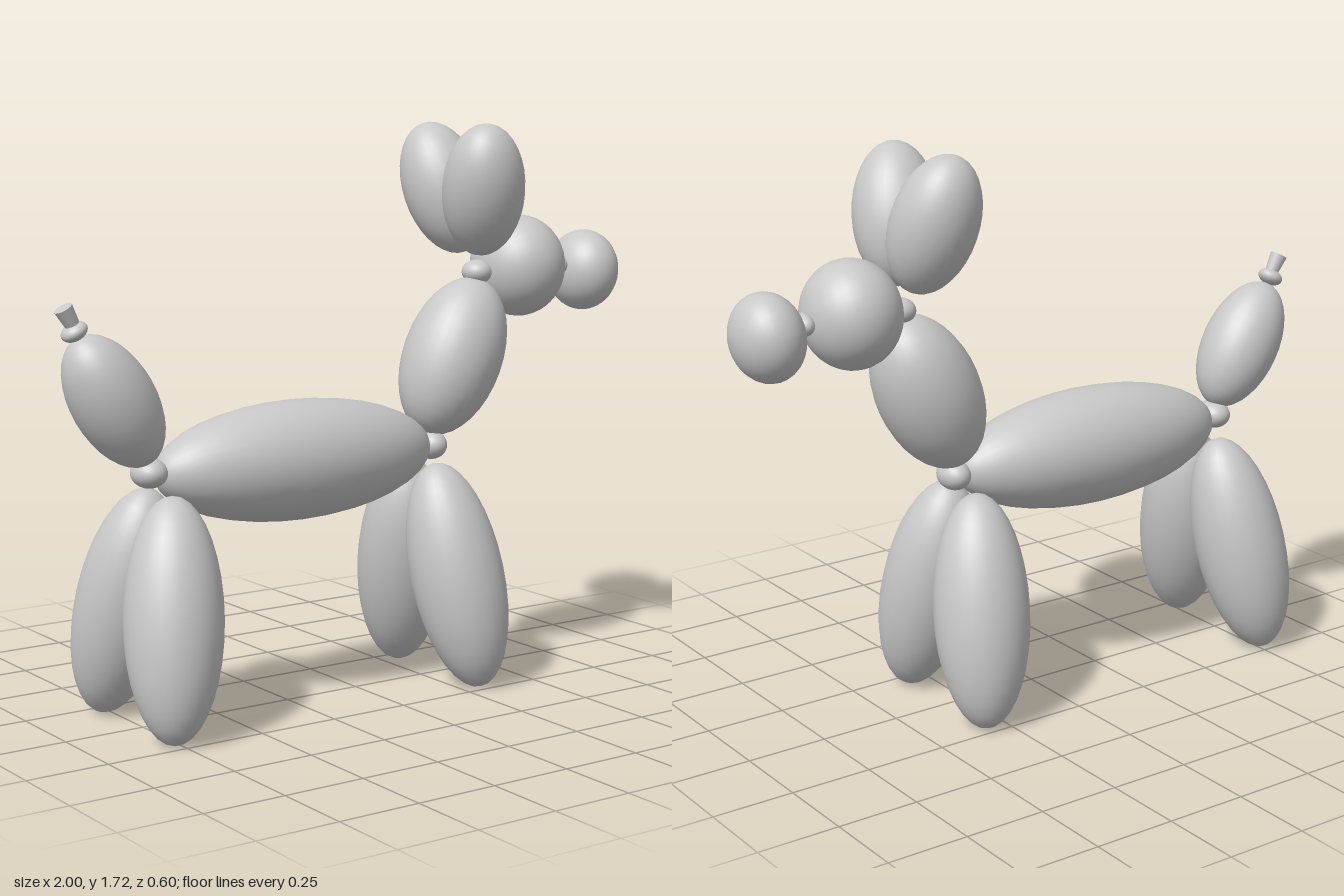
import * as THREE from 'three';

export function createModel() {
  const model = new THREE.Group();
  const balloonGrey = new THREE.MeshStandardMaterial({ color: 0xc8c8c8 });
  const up = new THREE.Vector3(0, 1, 0);

  const add = (name, geometry, position, axis) => {
    const mesh = new THREE.Mesh(geometry, balloonGrey);
    mesh.name = name;
    mesh.position.set(...position);
    mesh.quaternion.setFromUnitVectors(up, new THREE.Vector3(...axis).normalize());
    model.add(mesh);
    return mesh;
  };

  // Ellipsoid: round radius r, half length along its axis, optional depth in z
  const bubble = (name, position, r, half, axis = [0, 1, 0], depth = r) => {
    const geometry = new THREE.SphereGeometry(1, 32, 18);
    geometry.scale(r, half, depth);
    return add(name, geometry, position, axis);
  };

  // Trunk, neck, head and muzzle
  bubble('body', [-0.215, 0.737, 0], 0.18, 0.48, [1, 0, 0]);
  bubble('neck', [0.369, 1.005, 0], 0.155, 0.256, [0.41, 0.91, 0]);
  bubble('head', [0.623, 1.275, 0], 0.16, 0.144, [1, 0, 0]);
  bubble('muzzle', [0.893, 1.248, 0], 0.129, 0.103, [1, -0.09, 0]);
  bubble('tail', [-0.828, 0.962, 0], 0.122, 0.215, [-0.51, 0.86, 0]);

  // Mirrored legs and ears
  for (const s of [1, -1]) {
    const side = s > 0 ? 'Near' : 'Far';
    bubble('frontLeg' + side, [0.283, 0.347, s * 0.142], 0.144, 0.352, [-0.1, 0.97, -s * 0.218]);
    bubble('backLeg' + side, [-0.725, 0.347, s * 0.142], 0.144, 0.352, [0.13, 0.97, -s * 0.218]);
    bubble('ear' + side, [0.406, 1.521, s * 0.1], 0.127, 0.211, [-0.17, 0.94, s * 0.3]);
  }

  // Twisted knots between the bubbles
  bubble('hipKnot', [-0.718, 0.747, 0], 0.052, 0.044, [0, 1, 0], 0.062);
  bubble('shoulderKnot', [0.283, 0.735, 0], 0.047, 0.046, [0, 1, 0], 0.062);
  bubble('headKnot', [0.462, 1.262, 0], 0.047, 0.038, [0, 1, 0], 0.05);
  bubble('muzzleKnot', [0.78, 1.268, 0], 0.03, 0.033, [0, 1, 0], 0.047);

  // Tied end of the tail
  const tailAxis = [-0.5, 0.87, 0];
  bubble('tailKnot', [-0.948, 1.167, 0], 0.04, 0.025, tailAxis);
  add('tailNozzle', new THREE.CylinderGeometry(0.028, 0.02, 0.07, 12), [-0.964, 1.204, 0], tailAxis);

  return model;
}
